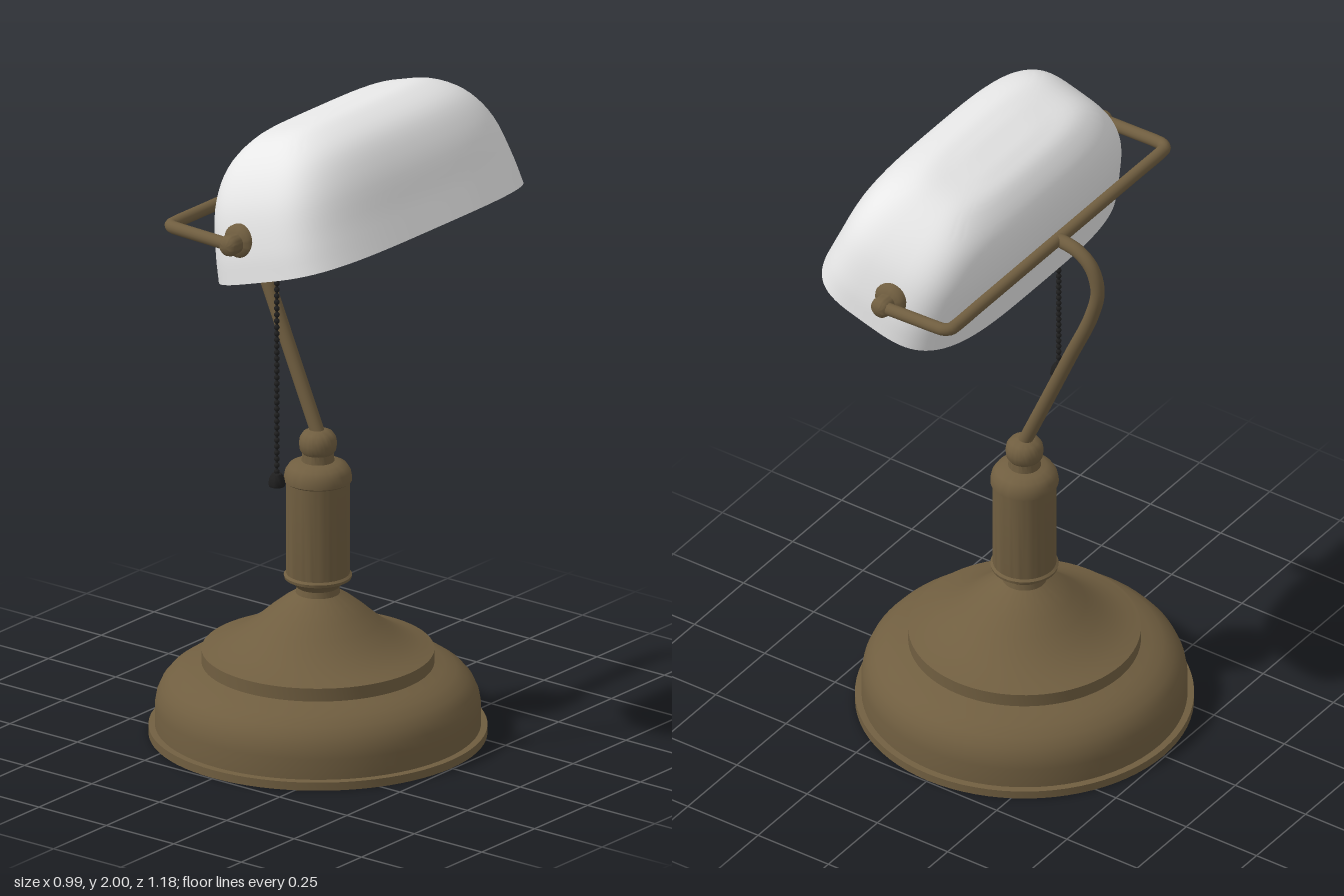
import * as THREE from 'three';
import { toCreasedNormals } from 'three/addons/utils/BufferGeometryUtils.js';

const brass = new THREE.MeshStandardMaterial({ color: 0x705e40, side: THREE.DoubleSide });
brass.name = 'agedBrass';
const white = new THREE.MeshStandardMaterial({ color: 0xe8e8e8 });
white.name = 'whiteGlass';
const black = new THREE.MeshStandardMaterial({ color: 0x1f1f1f });
black.name = 'blackFitting';

function add(parent, name, geometry, material, x = 0, y = 0, z = 0) {
  const mesh = new THREE.Mesh(geometry, material);
  mesh.name = name;
  mesh.position.set(x, y, z);
  parent.add(mesh);
  return mesh;
}

// Turned part from [radius, height] pairs, sharp only at strong corners
function turned(profile, segments = 64) {
  const points = profile.map(([r, h]) => new THREE.Vector2(r, h));
  return toCreasedNormals(new THREE.LatheGeometry(points, segments), 0.65);
}

function tube(points, radius, segments) {
  const path = new THREE.CatmullRomCurve3(points.map((p) => new THREE.Vector3(...p)));
  return new THREE.TubeGeometry(path, segments, radius, 16);
}

// Closed double-walled shell of superellipse sections, from inner crown to outer crown
function shadeGeometry() {
  const levels = [[0.264, 0.537, 0], [0.252, 0.528, 0.09], [0.235, 0.492, 0.22], [0.198, 0.425, 0.315],
    [0.125, 0.325, 0.378], [0.06, 0.18, 0.395], [0, 0, 0.397]];
  const outer = new THREE.CatmullRomCurve3(levels.map((l) => new THREE.Vector3(...l))).getPoints(28);
  outer[outer.length - 1].set(0, 0, 0.397);
  const wall = 0.012;
  const inner = outer.map((p) => new THREE.Vector3(
    Math.max(0, p.x - wall), Math.max(0, p.y - wall), p.z * 0.97));
  const sections = [...inner.reverse(), ...outer];
  const around = 96;
  const power = 2 / 3.7;
  const bend = (t) => Math.sign(t) * Math.abs(t) ** power;
  const positions = [];
  const index = [];
  sections.forEach((s, i) => {
    for (let j = 0; j < around; j++) {
      const a = (j / around) * Math.PI * 2;
      positions.push(s.x * bend(Math.cos(a)), s.z, s.y * bend(Math.sin(a)));
      if (i === 0) continue;
      const k = (j + 1) % around;
      const a0 = (i - 1) * around + j, b0 = (i - 1) * around + k;
      const a1 = i * around + j, b1 = i * around + k;
      index.push(a0, a1, b0, b0, a1, b1);
    }
  });
  const geometry = new THREE.BufferGeometry();
  geometry.setAttribute('position', new THREE.Float32BufferAttribute(positions, 3));
  geometry.setIndex(index);
  return toCreasedNormals(geometry, 0.8);
}

export function createModel() {
  const lamp = new THREE.Group();
  lamp.name = 'deskLamp';

  // Hollow stepped base
  add(lamp, 'base', turned([
    [0.478, 0], [0.495, 0], [0.495, 0.025], [0.476, 0.027], [0.476, 0.09], [0.471, 0.12], [0.458, 0.15],
    [0.437, 0.175], [0.405, 0.197], [0.37, 0.21], [0.34, 0.22], [0.34, 0.26], [0.3, 0.272], [0.26, 0.29],
    [0.22, 0.315], [0.18, 0.347], [0.14, 0.383], [0.1, 0.415], [0.065, 0.437],
  ], 80), brass);

  // Column with collars and top finial
  add(lamp, 'column', turned([
    [0.065, 0.437], [0.062, 0.455], [0.075, 0.47], [0.098, 0.483], [0.1, 0.492], [0.093, 0.498],
    [0.093, 0.782], [0.1, 0.787], [0.1, 0.795], [0.096, 0.815], [0.085, 0.832], [0.065, 0.842],
    [0.048, 0.846], [0.046, 0.87], [0.053, 0.88], [0.056, 0.9], [0.053, 0.918], [0.043, 0.933],
    [0.025, 0.941], [0, 0.942],
  ]), brass);

  // Swan-neck arm
  add(lamp, 'arm', tube([
    [0, 0.93, 0], [-0.07, 1.09, 0], [-0.165, 1.31, 0], [-0.238, 1.48, 0], [-0.26, 1.58, 0],
    [-0.238, 1.655, 0], [-0.19, 1.695, 0], [-0.12, 1.71, 0],
  ], 0.021, 64), brass);

  // Bracket holding the shade at both ends
  const side = [[0.115, 1.705, 0.563], [0, 1.708, 0.562], [-0.08, 1.71, 0.561], [-0.102, 1.71, 0.558],
    [-0.117, 1.71, 0.545], [-0.12, 1.71, 0.52], [-0.12, 1.71, 0.4]];
  const mirrored = side.map(([x, y, z]) => [x, y, -z]).reverse();
  add(lamp, 'bracket', tube([...side, [-0.12, 1.71, 0], ...mirrored], 0.019, 200), brass);

  // Pivot knobs with flanges against the shade
  const knob = turned([[0.052, 0.5], [0.052, 0.522], [0.045, 0.532], [0.03, 0.538], [0.03, 0.552],
    [0.032, 0.565], [0.028, 0.578], [0.018, 0.586], [0, 0.589]], 32);
  for (const s of [1, -1]) {
    const pivot = add(lamp, s > 0 ? 'frontPivot' : 'backPivot', knob, brass, 0.115, 1.703, 0);
    pivot.rotation.x = s * Math.PI / 2;
  }

  // Tilted shade
  const shade = add(lamp, 'shade', shadeGeometry(), white, 0.1975, 1.5975, 0);
  shade.rotation.z = 0.298;

  // Socket and bulb lying along z inside the shade
  const socket = add(lamp, 'socket', turned([
    [0, 0.085], [0.036, 0.085], [0.04, 0.13], [0.044, 0.14], [0.044, 0.3], [0.052, 0.315], [0.056, 0.34],
    [0.056, 0.37], [0.052, 0.395], [0.036, 0.41], [0.036, 0.43], [0.042, 0.435], [0.042, 0.505], [0, 0.505],
  ], 32), black, 0.12, 1.702, 0);
  socket.rotation.x = Math.PI / 2;
  add(lamp, 'bulb', new THREE.SphereGeometry(0.086, 32, 24), white, 0.12, 1.702, 0.01);

  // Pull chain of beads with an end weight
  const chain = new THREE.Group();
  chain.name = 'pullChain';
  chain.position.set(0.13, 0, 0.36);
  lamp.add(chain);
  add(chain, 'chainOutlet', new THREE.CylinderGeometry(0.024, 0.024, 0.03, 16), black, 0, 1.65, 0);
  add(chain, 'chainCord', new THREE.CylinderGeometry(0.004, 0.004, 0.7, 6), black, 0, 1.29, 0);
  const bead = new THREE.SphereGeometry(0.0085, 10, 8);
  for (let y = 0.945; y < 1.64; y += 0.0195) add(chain, 'chainBead', bead, black, 0, y, 0);
  add(chain, 'chainWeight', turned([[0, 0.9], [0.023, 0.9], [0.025, 0.906], [0.022, 0.925],
    [0.015, 0.938], [0, 0.942]], 20), black);

  return lamp;
}
